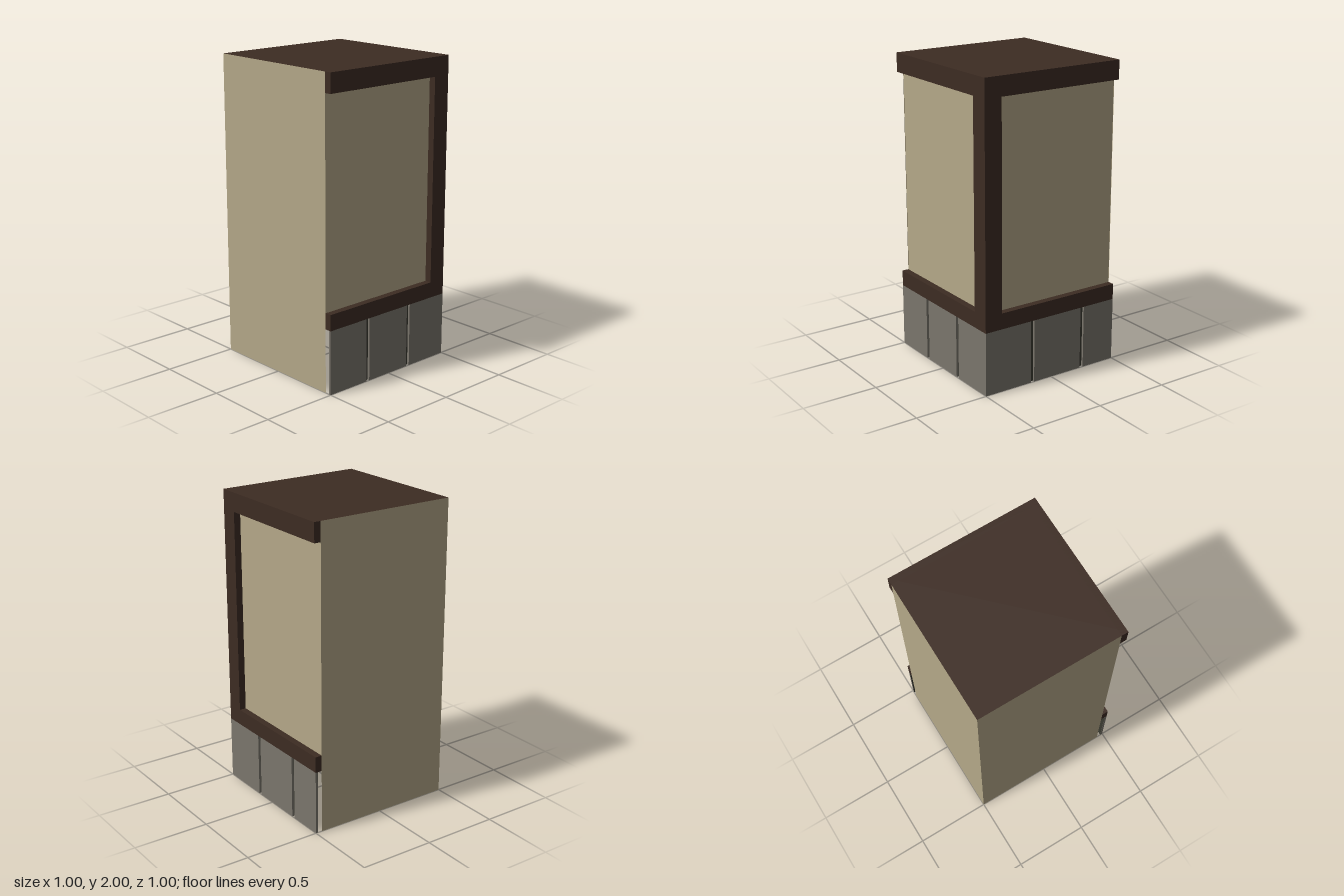
import * as THREE from 'three';

export function createModel() {
  const group = new THREE.Group();
  const mat = (name, color) => {
    const m = new THREE.MeshStandardMaterial({ color, side: THREE.DoubleSide });
    m.name = name;
    return m;
  };
  const plaster = mat('plaster', 0xb4a888);
  const timber = mat('darkTimber', 0x3d2c23);
  const stone = mat('stone', 0x7a756c);
  const grout = mat('grout', 0x3a3a31);

  const H = 0.5, INNER = 0.455, STONE_TOP = 0.42, SILL = 0.525, LINTEL = 1.875, POST = 0.38;

  const add = (parent, name, geometry, material) => {
    const mesh = new THREE.Mesh(geometry, material);
    mesh.name = name;
    parent.add(mesh);
    return mesh;
  };
  // Upright sheet in the local xy plane
  const sheet = (x0, x1, y0, y1, z) =>
    new THREE.PlaneGeometry(x1 - x0, y1 - y0).translate((x0 + x1) / 2, (y0 + y1) / 2, z);

  // One decorated face: s = +1 puts the corner post at local +x, -1 at local -x.
  // "end" is how far the face runs towards the shared corner.
  function face(name, s, end, seams) {
    const g = new THREE.Group();
    g.name = name;
    const span = (a, b) => [Math.min(s * a, s * b), Math.max(s * a, s * b)];

    // C-shaped timber frame: lintel, corner post and sill
    const pts = [[-H, STONE_TOP], [end, STONE_TOP], [end, 2], [-H, 2],
      [-H, LINTEL], [POST, LINTEL], [POST, SILL], [-H, SILL]];
    const shape = new THREE.Shape(pts.map(([x, y]) => new THREE.Vector2(s * x, y)));
    const frame = new THREE.ExtrudeGeometry(shape, { depth: H - INNER, bevelEnabled: false });
    add(g, 'timberFrame', frame.translate(0, 0, INNER), timber);

    // Recessed plaster panel
    add(g, 'plasterPanel', sheet(...span(-H, INNER), SILL - 0.005, 2, INNER - 0.003), plaster);

    // Stone blocks in front of a grout sheet
    add(g, 'groutBacking', sheet(...span(-H, 0.484), 0, STONE_TOP, 0.484), grout);
    const stoneEnd = end === H ? H : 0.485;
    const edges = [-H, ...seams.flatMap((c) => [c - 0.013, c + 0.013]), stoneEnd];
    for (let i = 0; i < edges.length; i += 2) {
      const w = edges[i + 1] - edges[i];
      const block = new THREE.BoxGeometry(w, STONE_TOP, 0.015);
      block.translate(s * (edges[i] + w / 2), STONE_TOP / 2, H - 0.0075);
      add(g, 'stoneBlock', block, stone);
    }
    group.add(g);
    return g;
  }

  face('frontFace', 1, H, [-0.183, 0.176]);
  face('rightFace', -1, INNER, [-0.247, 0.145]).rotation.y = Math.PI / 2;

  // Plain plaster walls on the back and the other side
  add(group, 'backWall', sheet(-INNER, H, 0, 2, H), plaster).rotation.y = Math.PI;
  add(group, 'sideWall', sheet(-H, INNER, 0, 2, H), plaster).rotation.y = -Math.PI / 2;

  // Top cover
  add(group, 'topCover', new THREE.PlaneGeometry(1, 1).rotateX(-Math.PI / 2).translate(0, 2, 0), timber);

  return group;
}
